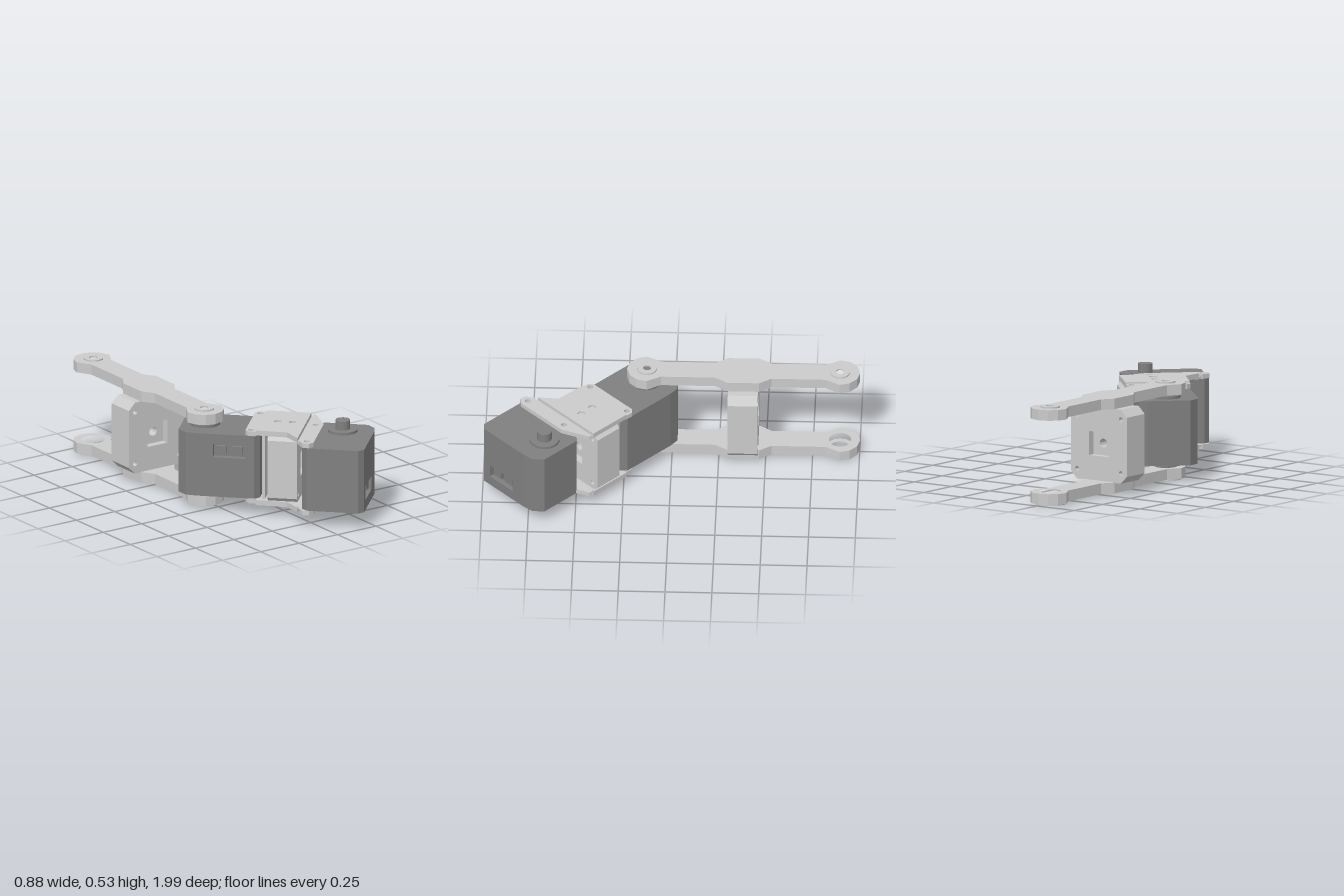
import * as THREE from 'three';

const light = new THREE.MeshStandardMaterial({ color: 0xcccccc, flatShading: true });
const dark = new THREE.MeshStandardMaterial({ color: 0x808080, flatShading: true });
const MID = 0.265; // mid height of the whole linkage

function polygon(points, holes = []) {
  const shape = new THREE.Shape(points.map(p => new THREE.Vector2(p[0], p[1])));
  for (const [x, y, r] of holes) shape.holes.push(new THREE.Path().absarc(x, y, r, 0, Math.PI * 2, true));
  return shape;
}

function add(parent, name, geometry, material, x = 0, y = 0, z = 0) {
  const mesh = new THREE.Mesh(geometry, material);
  mesh.name = name;
  mesh.position.set(x, y, z);
  parent.add(mesh);
  return mesh;
}

// Horizontal slab: the shape is drawn in (x, z) and spans y0..y1
function slab(shape, y0, y1) {
  const g = new THREE.ExtrudeGeometry(shape, { depth: y1 - y0, bevelEnabled: false, curveSegments: 8 });
  return g.rotateX(Math.PI / 2).translate(0, y1, 0);
}

function disc(r, hole) {
  const shape = new THREE.Shape().absarc(0, 0, r, 0, Math.PI * 2, false);
  shape.holes.push(new THREE.Path().absarc(0, 0, hole, 0, Math.PI * 2, true));
  return shape;
}

// Servo centred on its axle, with the shaft end towards +x and the socket on +z
function servo(name) {
  const g = new THREE.Group();
  g.name = name;
  const back = [[-0.322, 0.14], [-0.322, -0.14], [-0.294, -0.168]];
  const nose = [[0.02, -0.168], [0.078, -0.16], [0.123, -0.116], [0.123, 0.116], [0.078, 0.16], [0.02, 0.168]];
  const end = [[-0.294, 0.168]];
  const notch = [[-0.072, 0.168], [-0.072, 0.135], [-0.247, 0.135], [-0.247, 0.168]];
  const plain = polygon([...back, ...nose, ...end]);
  const notched = polygon([...back, ...nose, ...notch, ...end]);
  add(g, 'servoLowerBody', slab(plain, -0.175, -0.12), dark);
  add(g, 'servoSocketBody', slab(notched, -0.12, -0.045), dark);
  add(g, 'servoUpperBody', slab(plain, -0.045, 0.176), dark);
  for (const x of [-0.2, -0.115]) {
    add(g, 'socketPlug', new THREE.BoxGeometry(0.055, 0.045, 0.02), dark, x, -0.082, 0.145);
  }
  add(g, 'servoCollar', new THREE.CylinderGeometry(0.08, 0.08, 0.38, 20), dark);
  add(g, 'servoShaft', new THREE.CylinderGeometry(0.04, 0.04, 0.455, 16), dark, 0, 0.012, 0);
  return g;
}

// Chamfered mounting block with a square pocket and corner screw holes, facing +-z
function mountBlock(name) {
  const g = new THREE.Group();
  g.name = name;
  const w = 0.185, h = 0.2, c = 0.04, q = 0.065;
  const screws = [-1, 1].flatMap(i => [-1, 1].map(j => [i * 0.145, j * 0.145, 0.013]));
  const outline = [[-w + c, -h], [w - c, -h], [w, -h + c], [w, h - c], [w - c, h], [-w + c, h], [-w, h - c], [-w, -h + c]];
  const face = polygon(outline, screws);
  face.holes.push(new THREE.Path([[-q, -q], [-q, q], [q, q], [q, -q]].map(p => new THREE.Vector2(...p))));
  const extrude = (s, d) => new THREE.ExtrudeGeometry(s, { depth: d, bevelEnabled: false, curveSegments: 6 }).translate(0, 0, -d / 2);
  add(g, 'blockBody', extrude(face, 0.16), light);
  add(g, 'pocketFloor', extrude(polygon([[-q, -q], [q, -q], [q, q], [-q, q]], [[0, 0, 0.025]]), 0.08), light);
  return g;
}

// Long link plate with twelve-sided ends and a wider waist
function armShape(hole) {
  const r = 0.107, near = 0.135, far = -0.895, w = 0.065;
  const arc = [0, 30, 60, 90].map(d => d * Math.PI / 180);
  const half = [
    ...arc.map(a => [r * Math.sin(a), near + r * Math.cos(a)]),
    [w, near - 0.075], [w, -0.23], [r, -0.295], [r, -0.465], [w, -0.53], [w, far + 0.075],
    ...arc.map(a => [r * Math.cos(a), far - r * Math.sin(a)]),
  ];
  const mirrored = half.slice(1, -1).reverse().map(([x, z]) => [-x, z]);
  return polygon([...half, ...mirrored], [[0, near, hole], [0, far, hole]]);
}

export function createModel() {
  const root = new THREE.Group();
  root.name = 'servoLinkage';

  // Two servos at right angles, the rear one turned upside down
  const rear = servo('rearServo');
  rear.position.set(-0.26, MID, 0.14);
  rear.rotation.set(Math.PI, Math.PI * 0.75, 0, 'YXZ');
  const front = servo('frontServo');
  front.position.set(0.268, MID, 0.666);
  front.rotation.y = Math.PI / 4;
  root.add(rear, front);

  // Forked arm pivoting on the rear servo
  const arm = new THREE.Group();
  arm.name = 'forkArm';
  arm.position.x = -0.262;
  add(arm, 'upperArm', slab(armShape(0.022), 0.465, 0.522), light);
  add(arm, 'lowerArm', slab(armShape(0.06), 0.01, 0.068), light);
  for (const z of [0.135, -0.895]) {
    add(arm, 'upperBoss', slab(disc(0.053, 0.022), 0.522, 0.53), light, 0, 0, z);
    add(arm, 'lowerRing', slab(disc(0.085, 0.06), 0, 0.01), light, 0, 0, z);
  }
  const armBlock = mountBlock('armBlock');
  armBlock.position.set(0, MID, -0.38);
  arm.add(armBlock);
  root.add(arm);

  // Bracket joining the servos; its own x runs from the rear to the front servo
  const bracket = new THREE.Group();
  bracket.name = 'bracket';
  bracket.position.set(-0.2, MID, 0.2);
  bracket.rotation.y = -Math.PI / 4;
  const lip = polygon([[0.16, -0.15], [0.18, -0.172], [0.22, -0.172], [0.22, 0.172], [0.18, 0.172], [0.16, 0.15]],
    [[0.19, -0.143, 0.016], [0.19, 0.143, 0.016]]);
  const plate = polygon([[0.22, -0.172], [0.462, -0.172], [0.462, 0.26], [0.39, 0.177], [0.22, 0.172]],
    [[0.31, 0, 0.02], [0.39, 0, 0.02]]);
  const tab = polygon([[0.472, -0.172], [0.49, -0.165], [0.534, -0.067], [0.555, -0.02], [0.555, 0.295], [0.535, 0.322], [0.5, 0.322], [0.472, 0.28]],
    [[0.516, 0, 0.016], [0.516, 0.283, 0.016]]);
  const seam = polygon([[0.455, -0.165], [0.48, -0.165], [0.48, 0.28], [0.455, 0.25]]);
  for (const [side, s] of [['upper', 1], ['lower', -1]]) {
    const layer = (shape, a, b) => slab(shape, Math.min(s * a, s * b), Math.max(s * a, s * b));
    add(bracket, side + 'Lip', layer(lip, 0.177, 0.202), light);
    add(bracket, side + 'Plate', layer(plate, 0.182, 0.21), light);
    add(bracket, side + 'Tab', layer(tab, 0.177, 0.202), light);
    add(bracket, side + 'Seam', layer(seam, 0.178, 0.19), light);
  }
  add(bracket, 'bracketWeb', new THREE.BoxGeometry(0.015, 0.36, 0.3), light, 0.258, 0, 0);
  const block = mountBlock('bracketBlock');
  block.position.x = 0.365;
  block.rotation.y = Math.PI / 2;
  bracket.add(block);
  root.add(bracket);

  return root;
}
